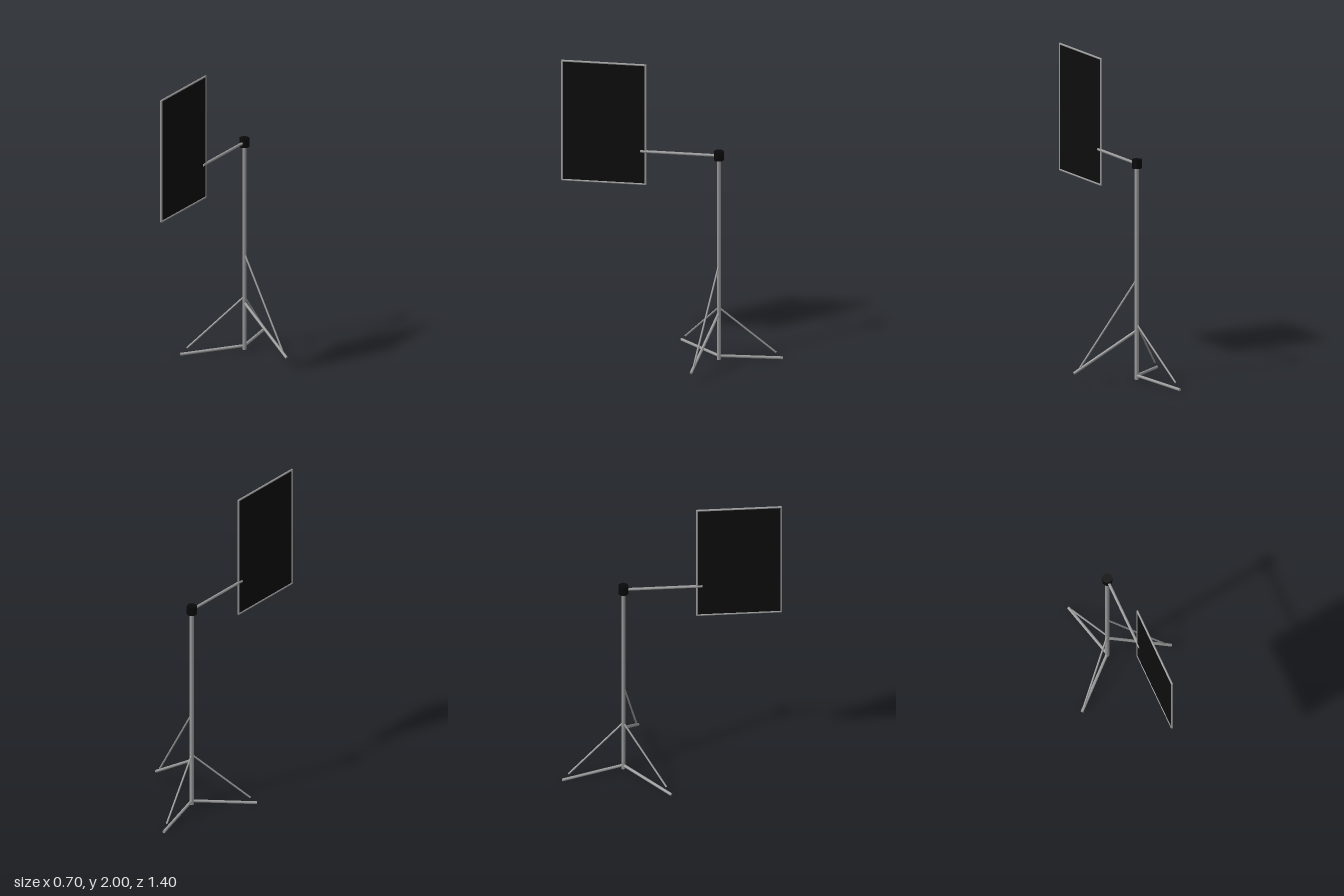
import * as THREE from 'three';

export function createModel() {
  const metal = new THREE.MeshStandardMaterial({ name: 'grey metal', color: 0x999999 });
  const fabric = new THREE.MeshStandardMaterial({ name: 'black fabric', color: 0x0d0d0d });
  const plastic = new THREE.MeshStandardMaterial({ name: 'black plastic', color: 0x080808 });
  const root = new THREE.Group();
  root.name = 'flagStand';
  const X = -0.045, Z = -0.305;

  // Straight round tube between two points
  function rod(name, a, b, radius, material = metal, sides = 12) {
    const from = new THREE.Vector3(...a), to = new THREE.Vector3(...b);
    const dir = to.clone().sub(from);
    const mesh = new THREE.Mesh(new THREE.CylinderGeometry(radius, radius, dir.length(), sides), material);
    mesh.name = name;
    mesh.position.copy(from).add(to).multiplyScalar(0.5);
    mesh.quaternion.setFromUnitVectors(new THREE.Vector3(0, 1, 0), dir.normalize());
    root.add(mesh);
  }

  // Upright pole, clamp head and side arm
  rod('pole', [X, 0.015, Z], [X, 1.4, Z], 0.013);
  rod('clampHead', [X, 1.377, Z], [X, 1.434, Z], 0.032, plastic, 16);
  rod('arm', [X, 1.405, Z], [X, 1.405, 0.195], 0.009);

  // Three legs, the left one raised, each with a thin brace
  const legs = [
    { name: 'left', hub: 0.33, foot: [0.342, 0.07, -0.184], collar: 0.66, end: [0.305, 0.105, -0.196] },
    { name: 'right', hub: 0.04, foot: [-0.345, 0.011, -0.024], collar: 0.37, end: [-0.315, 0.05, -0.052] },
    { name: 'back', hub: 0.04, foot: [-0.138, 0.011, -0.698], collar: 0.37, end: [-0.129, 0.05, -0.658] },
  ];
  for (const { name, hub, foot, collar, end } of legs) {
    rod(name + 'Leg', [X, hub, Z], foot, 0.0095);
    rod(name + 'Brace', [X, collar, Z], end, 0.006);
  }

  // Rectangular frame of tubes with rounded corners
  const r = 0.0065, y0 = 1.182, y1 = 1.993, z0 = 0.161, z1 = 0.693;
  const corners = [[X, y0, z0], [X, y1, z0], [X, y1, z1], [X, y0, z1]];
  corners.forEach((c, i) => {
    rod('frameTube', c, corners[(i + 1) % 4], r);
    const joint = new THREE.Mesh(new THREE.SphereGeometry(r, 12, 8), metal);
    joint.name = 'frameCorner';
    joint.position.set(...c);
    root.add(joint);
  });

  // Black cloth stretched in the frame
  const cloth = new THREE.Mesh(new THREE.BoxGeometry(0.004, y1 - y0, z1 - z0), fabric);
  cloth.name = 'cloth';
  cloth.position.set(X, (y0 + y1) / 2, (z0 + z1) / 2);
  root.add(cloth);

  return root;
}
